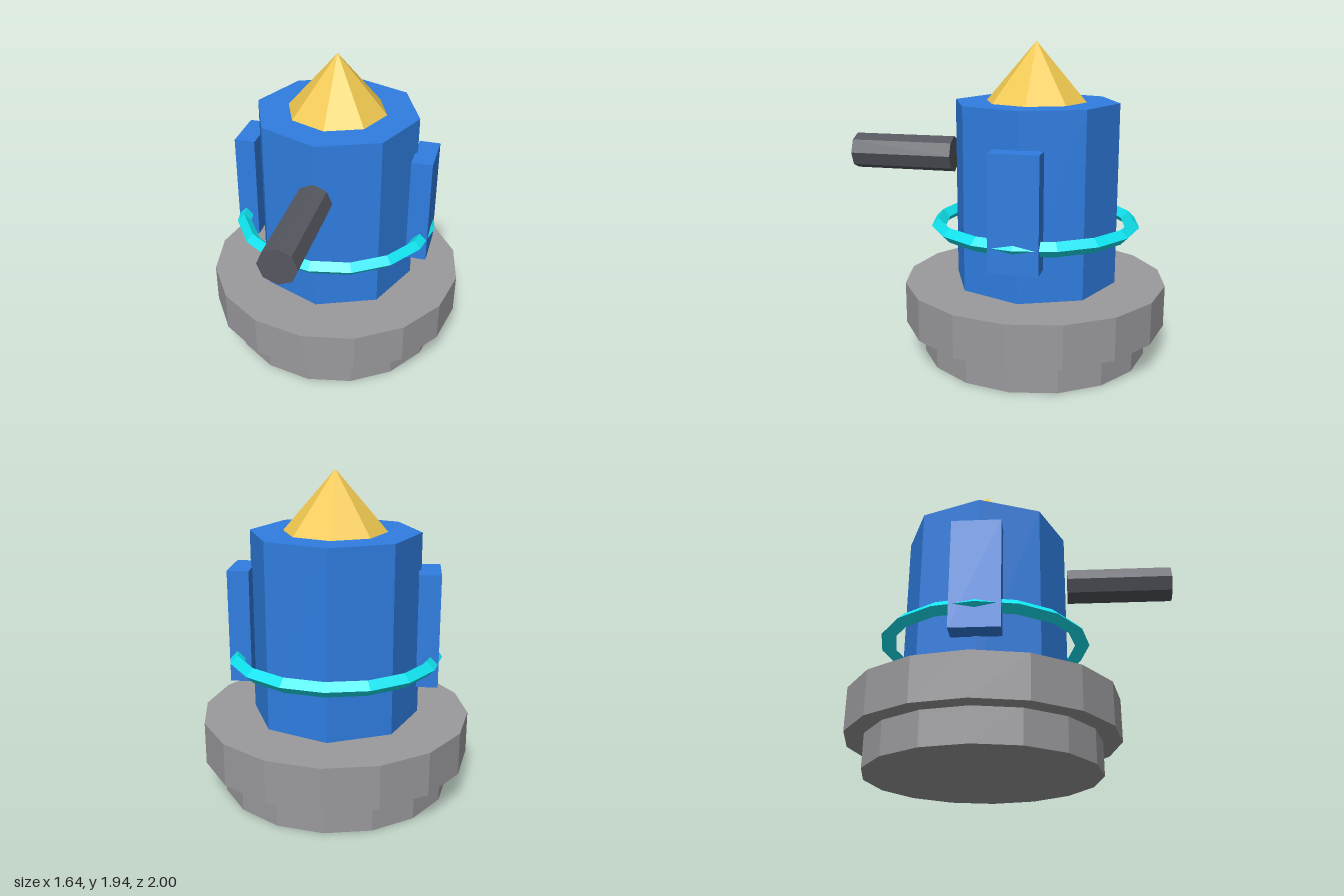
import * as THREE from 'three';

const AXIS_Z = -0.18; // the tower's axis sits behind the origin, the barrel reaches forward

export function createModel() {
  const model = new THREE.Group();

  const paint = (color) => new THREE.MeshStandardMaterial({ color, flatShading: true });
  const stone = paint(0x9a9a9e);
  const blue = paint(0x2f7de0);
  const gold = paint(0xf0c850);
  const steel = paint(0x565860);
  const cyan = paint(0x10e4f0);

  const add = (name, geometry, material, x, y, z) => {
    const mesh = new THREE.Mesh(geometry, material);
    mesh.name = name;
    mesh.position.set(x, y, z);
    model.add(mesh);
    return mesh;
  };

  // Upright prism or cone on the tower axis, between two heights
  const column = (name, rTop, rBottom, y0, y1, sides, material) =>
    add(name, new THREE.CylinderGeometry(rTop, rBottom, y1 - y0, sides), material, 0, (y0 + y1) / 2, AXIS_Z);

  // Stepped base
  column('foot', 0.705, 0.705, 0, 0.2, 16, stone);
  column('basePlatform', 0.82, 0.82, 0.2, 0.46, 16, stone);

  // Tower body and pointed roof
  column('body', 0.51, 0.51, 0.46, 1.58, 8, blue);
  add('roof', new THREE.ConeGeometry(0.31, 0.36, 8), gold, 0, 1.76, AXIS_Z);

  // Side plates
  for (const [name, side] of [['leftPlate', 1], ['rightPlate', -1]]) {
    add(name, new THREE.BoxGeometry(0.13, 0.685, 0.295), blue, side * 0.56, 1.018, AXIS_Z);
  }

  // Glowing ring, diamond in section
  const ring = add('ring', new THREE.TorusGeometry(0.605, 0.045, 4, 16), cyan, 0, 0.822, AXIS_Z);
  ring.rotation.x = Math.PI / 2;

  // Barrel, standing just clear of the body
  const barrel = add('barrel', new THREE.CylinderGeometry(0.113, 0.113, 0.655, 8), steel, 0, 1.232, 0.6725);
  barrel.rotation.x = Math.PI / 2;

  return model;
}
